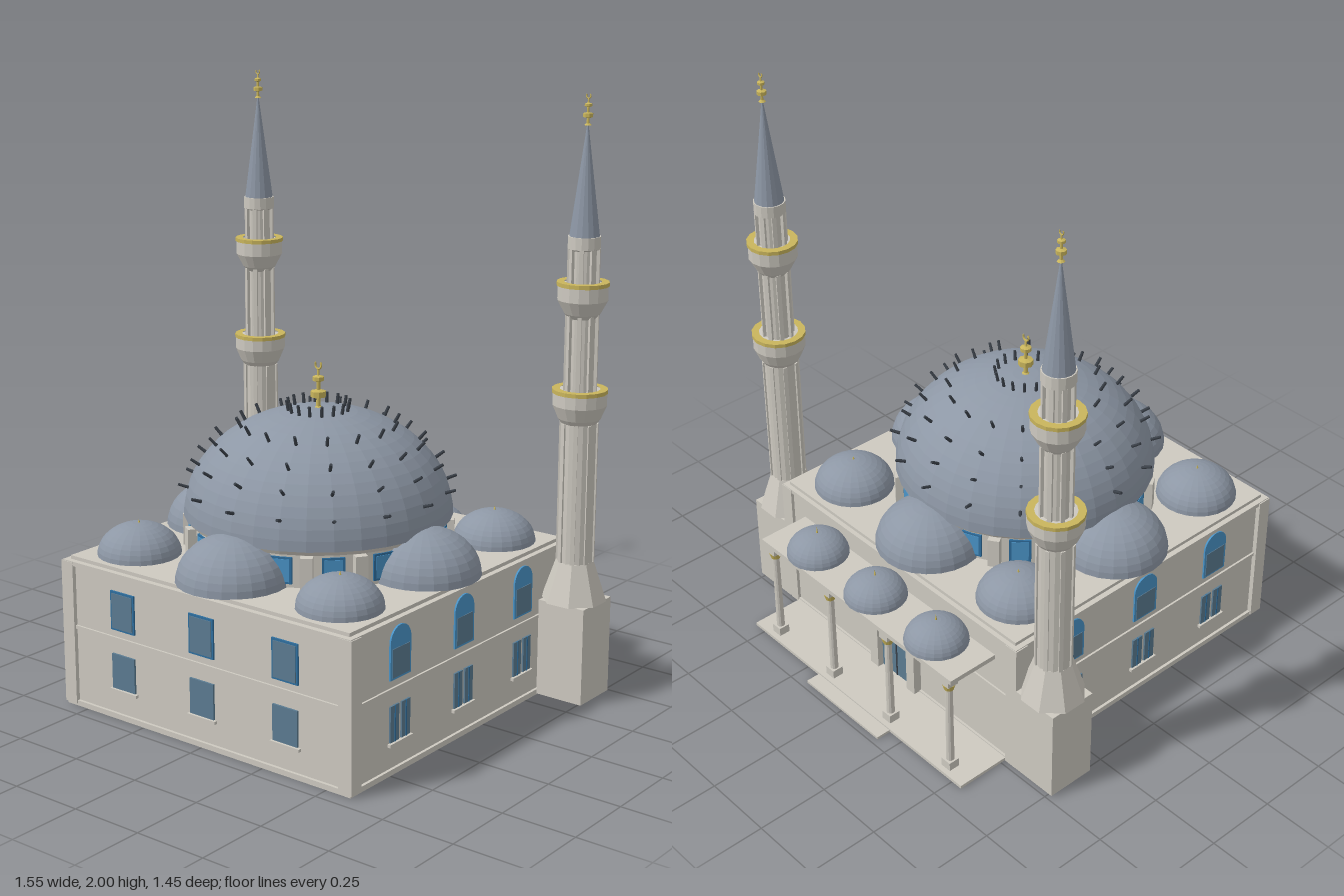
import * as THREE from 'three';

const mat = (name, color, extra = {}) => {
  const m = new THREE.MeshStandardMaterial({ color, ...extra });
  m.name = name;
  return m;
};

export function createModel() {
  const stone = mat('pale stone', 0xcdc9c0, { flatShading: true });
  const lead = mat('lead grey', 0x8d97a5, { flatShading: true });
  const gold = mat('gold', 0xc9b55c, { flatShading: true });
  const glass = mat('slate glass', 0x5b7b91);
  const blue = mat('blue glass', 0x4a94c8);
  const frameBlue = mat('blue frame', 0x2f6f9f);
  const dark = mat('dark iron', 0x3a4048);

  const model = new THREE.Group();
  const CZ = 0.107; // centre of the prayer hall in z

  const add = (parent, name, geo, material, x = 0, y = 0, z = 0) => {
    const m = new THREE.Mesh(geo, material);
    m.name = name;
    m.position.set(x, y, z);
    parent.add(m);
    return m;
  };
  const group = (name, parent, x = 0, y = 0, z = 0, ry = 0) => {
    const g = new THREE.Group();
    g.name = name;
    g.position.set(x, y, z);
    g.rotation.y = ry;
    parent.add(g);
    return g;
  };
  // Box given by its extents on each axis
  const box = (p, name, m, x0, x1, y0, y1, z0, z1) =>
    add(p, name, new THREE.BoxGeometry(x1 - x0, y1 - y0, z1 - z0), m, (x0 + x1) / 2, (y0 + y1) / 2, (z0 + z1) / 2);
  const lathe = (pts, seg) => new THREE.LatheGeometry(pts.map(([r, y]) => new THREE.Vector2(r, y)), seg);
  const dome = (p, name, r, h, x, y, z, seg = 24, rings = 10) => {
    const d = add(p, name, new THREE.SphereGeometry(1, seg, rings, 0, Math.PI * 2, 0, Math.PI / 2), lead, x, y, z);
    d.scale.set(r, h, r);
    return d;
  };
  // Gold stem with two knobs and a crescent
  const finial = (p, x, y, z, h) => {
    const g = group('finial', p, x, y, z);
    g.scale.setScalar(h);
    add(g, 'finialStem', lathe([[0.12, 0], [0.05, 0.06], [0.04, 0.22], [0.16, 0.25], [0.16, 0.37], [0.04, 0.4],
      [0.04, 0.56], [0.12, 0.59], [0.12, 0.67], [0.03, 0.7], [0.02, 0.84], [0, 0.84]], 8), gold);
    const c = add(g, 'crescent', new THREE.TorusGeometry(0.08, 0.022, 5, 12, Math.PI * 1.5), gold, 0, 0.91, 0);
    c.rotation.z = Math.PI * 0.75;
  };

  // Prayer hall walls, corner posts, ledges and roof
  const hall = group('prayerHall', model);
  box(hall, 'walls', stone, -0.582, 0.582, 0.005, 0.49, -0.475, 0.687);
  box(hall, 'plinth', stone, -0.592, 0.592, 0, 0.018, -0.483, 0.697);
  box(hall, 'middleLedge', stone, -0.589, 0.589, 0.268, 0.28, -0.481, 0.694);
  box(hall, 'cornice', stone, -0.594, 0.594, 0.485, 0.5, -0.484, 0.699);
  box(hall, 'roof', stone, -0.575, 0.575, 0.5, 0.512, -0.468, 0.68);
  for (const s of [-1, 1]) {
    for (const [z0, z1] of [[-0.486, -0.436], [0.651, 0.701]])
      box(hall, 'cornerPost', stone, s < 0 ? -0.598 : 0.548, s < 0 ? -0.548 : 0.598, 0.008, 0.497, z0, z1);
  }

  // Windows, each built facing +z and turned to its wall
  const archShape = new THREE.Shape();
  archShape.moveTo(-0.052, 0.305);
  archShape.lineTo(0.052, 0.305);
  archShape.lineTo(0.052, 0.422);
  archShape.absarc(0, 0.422, 0.052, 0, Math.PI, false);
  archShape.closePath();
  const archGeo = new THREE.ExtrudeGeometry(archShape, { depth: 0.006, bevelEnabled: false, curveSegments: 12 });
  const windowPair = (x, z, ry, arched) => {
    const g = group('windowPair', hall, x, 0, z, ry);
    if (arched) {
      add(g, 'archedWindow', archGeo, blue);
      box(g, 'upperPane', glass, -0.043, 0.043, 0.312, 0.405, 0.004, 0.008);
      for (const s of [-1, 1]) {
        box(g, 'lowerPane', glass, s < 0 ? -0.05 : 0.007, s < 0 ? -0.007 : 0.05, 0.104, 0.222, 0, 0.006);
        box(g, 'paneBar', frameBlue, s * 0.028 - 0.002, s * 0.028 + 0.002, 0.104, 0.222, 0.001, 0.008);
      }
    } else {
      box(g, 'windowFrame', frameBlue, -0.051, 0.051, 0.304, 0.436, 0, 0.006);
      box(g, 'upperPane', glass, -0.044, 0.044, 0.311, 0.429, 0.003, 0.009);
      box(g, 'lowerPane', glass, -0.049, 0.049, 0.104, 0.222, 0, 0.007);
    }
    box(g, 'sill', stone, -0.058, 0.058, 0.092, 0.102, 0, 0.012);
  };
  for (const k of [-1, 0, 1]) {
    windowPair(k * 0.337, 0.687, 0, false);
    windowPair(0.582, CZ + k * 0.337, Math.PI / 2, true);
    windowPair(-0.582, CZ + k * 0.337, -Math.PI / 2, true);
  }

  // Drum with alternating windows and buttresses
  const drum = group('drum', model, 0, 0, CZ);
  add(drum, 'drumWall', new THREE.CylinderGeometry(0.42, 0.42, 0.125, 32), stone, 0, 0.568, 0);
  add(drum, 'drumCornice', new THREE.CylinderGeometry(0.438, 0.43, 0.016, 32), stone, 0, 0.63, 0);
  for (let i = 0; i < 16; i++) {
    const bay = group('drumBay', drum, 0, 0, 0, i * Math.PI / 8);
    box(bay, 'drumWindow', frameBlue, -0.036, 0.036, 0.525, 0.612, 0.415, 0.424);
    box(bay, 'drumPane', blue, -0.028, 0.028, 0.532, 0.605, 0.418, 0.426);
    const rib = group('buttress', drum, 0, 0, 0, (i + 0.5) * Math.PI / 8);
    box(rib, 'buttressPost', stone, -0.02, 0.02, 0.51, 0.618, 0.41, 0.447);
  }

  // Main dome, with rings of iron pegs standing square to its surface
  const R = 0.442, H = 0.35, Y0 = 0.636;
  dome(model, 'mainDome', R, H, 0, Y0, CZ, 32, 16);
  const pegGeo = new THREE.CylinderGeometry(0.005, 0.006, 0.045, 6);
  const pegs = group('domePegs', model, 0, Y0, CZ);
  for (const r of [0.098, 0.25, 0.332, 0.388, 0.426]) {
    const y = H * Math.sqrt(1 - (r / R) ** 2);
    for (let i = 0; i < 16; i++) {
      const a = i * Math.PI / 8;
      const n = new THREE.Vector3(Math.sin(a) * r / R ** 2, y / H ** 2, Math.cos(a) * r / R ** 2).normalize();
      const peg = add(pegs, 'peg', pegGeo, dark, Math.sin(a) * r, y, Math.cos(a) * r);
      peg.position.addScaledVector(n, 0.012);
      peg.quaternion.setFromUnitVectors(new THREE.Vector3(0, 1, 0), n);
    }
  }
  finial(model, 0, 0.98, CZ, 0.16);

  // Side domes and corner domes
  for (const [x, z] of [[0, 1], [0, -1], [1, 0], [-1, 0]])
    dome(model, 'sideDome', 0.183, 0.15, x * 0.43, 0.511, CZ + z * 0.43);
  for (const x of [-1, 1]) for (const z of [-1, 1]) {
    dome(model, 'cornerDome', 0.138, 0.105, x * 0.416, 0.511, CZ + z * 0.416);
    add(model, 'cornerDomeTip', new THREE.ConeGeometry(0.005, 0.015, 6), gold, x * 0.416, 0.62, CZ + z * 0.416);
  }

  // Minarets
  for (const s of [-1, 1]) {
    const m = group(s > 0 ? 'leftMinaret' : 'rightMinaret', model, s * 0.676, 0, -0.4);
    const base = group('minaretBase', m, s * 0.004, 0, 0);
    box(base, 'baseBlock', stone, -0.086, 0.086, 0.005, 0.337, -0.086, 0.086);
    const foot = add(m, 'taperedFoot', new THREE.CylinderGeometry(0.063, 0.108, 0.135, 8), stone, 0, 0.403, 0);
    foot.rotation.y = Math.PI / 8;
    add(m, 'shaft', lathe([[0.059, 0.46], [0.059, 0.94], [0.07, 0.955], [0.089, 1.0], [0.089, 1.042], [0.045, 1.044],
      [0.045, 1.285], [0.058, 1.3], [0.082, 1.345], [0.082, 1.392], [0.043, 1.394], [0.043, 1.505],
      [0.053, 1.51], [0.053, 1.55], [0, 1.55]], 16), stone);
    for (const [y, r] of [[1.046, 0.091], [1.397, 0.085]])
      add(m, 'balconyRail', lathe([[r - 0.025, y - 0.006], [r, y - 0.006], [r, y + 0.007], [r - 0.025, y + 0.007]], 16), gold);
    for (let i = 0; i < 8; i++) {
      const rib = group('shaftRib', m, 0, 0, 0, (i + 0.5) * Math.PI / 4);
      box(rib, 'lowerRib', stone, -0.007, 0.007, 0.47, 0.94, 0.045, 0.063);
      box(rib, 'middleRib', stone, -0.007, 0.007, 1.04, 1.295, 0.035, 0.054);
      box(rib, 'upperRib', stone, -0.007, 0.007, 1.39, 1.512, 0.033, 0.052);
    }
    add(m, 'spire', new THREE.ConeGeometry(0.049, 0.37, 16), lead, 0, 1.735, 0);
    finial(m, 0, 1.9, 0, 0.1);
  }

  // Porch behind the hall
  const porch = group('porch', model);
  box(porch, 'porchFloor', stone, -0.545, 0.545, 0.003, 0.014, -0.676, -0.47);
  box(porch, 'frontStep', stone, -0.188, 0.188, 0, 0.009, -0.727, -0.66);
  box(porch, 'porchRoof', stone, -0.488, 0.488, 0.395, 0.412, -0.662, -0.47);
  for (const k of [-1, 0, 1]) {
    dome(porch, 'porchDome', 0.107, 0.082, k * 0.305, 0.411, -0.562);
    add(porch, 'porchDomeTip', new THREE.ConeGeometry(0.004, 0.025, 6), gold, k * 0.305, 0.503, -0.562);
  }
  for (const x of [-0.45, -0.15, 0.15, 0.45]) {
    const c = group('porchColumn', porch, x, 0, -0.637);
    box(c, 'columnBase', stone, -0.02, 0.02, 0.01, 0.045, -0.02, 0.02);
    add(c, 'columnShaft', new THREE.CylinderGeometry(0.012, 0.014, 0.355, 12), stone, 0, 0.22, 0);
    add(c, 'columnCapital', new THREE.CylinderGeometry(0.022, 0.016, 0.022, 12), gold, 0, 0.355, 0);
    box(c, 'columnBlock', stone, -0.02, 0.02, 0.366, 0.396, -0.02, 0.02);
  }

  // Doorway, facing the porch
  const door = group('doorway', model, 0, 0, -0.475, Math.PI);
  box(door, 'doorLeaves', glass, -0.075, 0.075, 0.014, 0.255, 0, 0.008);
  box(door, 'doorSplit', dark, -0.003, 0.003, 0.014, 0.255, 0.002, 0.01);
  for (const s of [-1, 1])
    box(door, 'doorPost', stone, s * 0.095 - 0.02, s * 0.095 + 0.02, 0.01, 0.3, 0, 0.03);
  box(door, 'doorLintel', stone, -0.115, 0.115, 0.255, 0.3, 0, 0.026);
  box(door, 'doorPanel', blue, -0.125, 0.125, 0.305, 0.375, 0, 0.01);
  for (const y of [0.3, 0.37]) box(door, 'panelTrim', gold, -0.13, 0.13, y, y + 0.01, 0, 0.018);

  return model;
}
